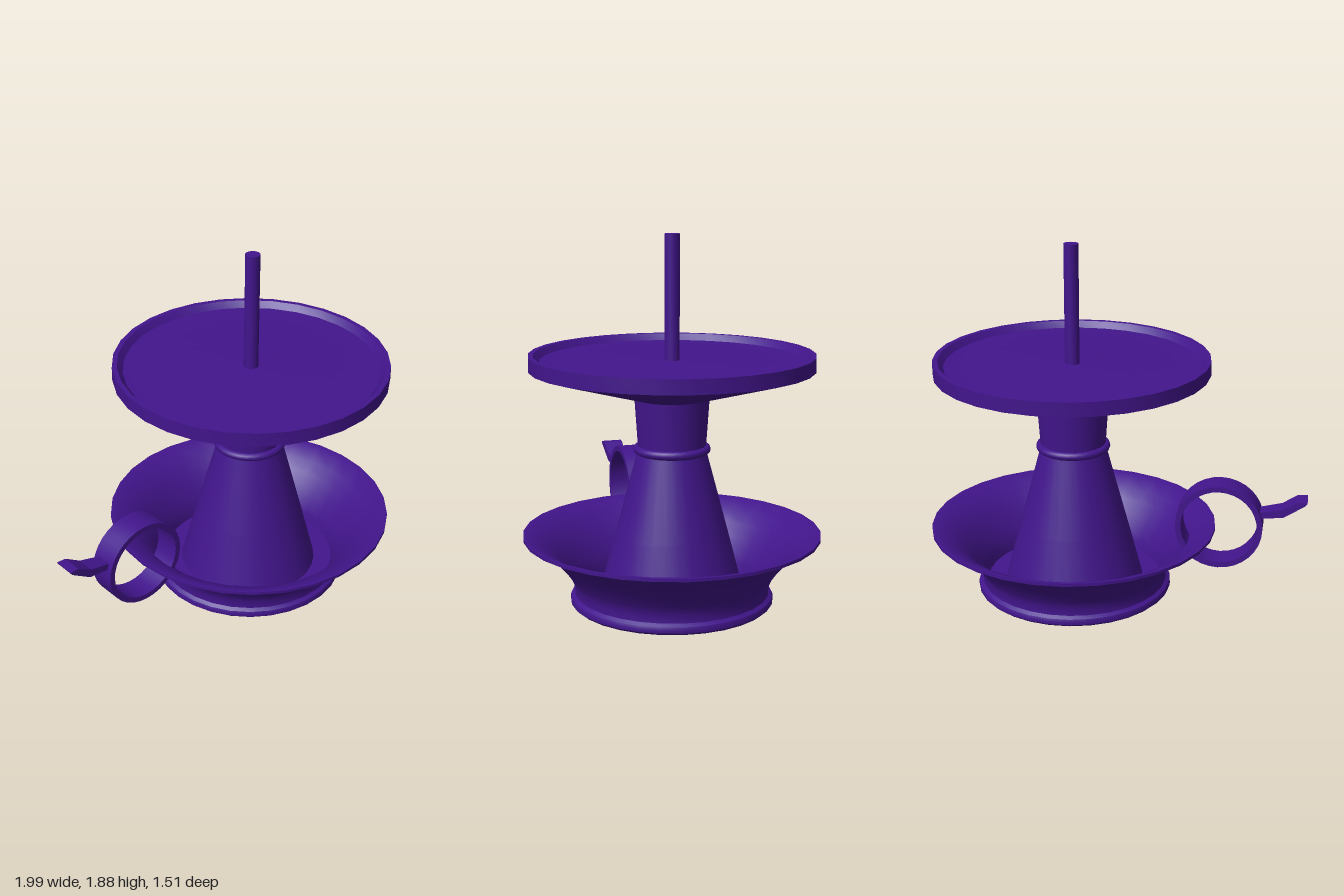
import * as THREE from 'three';
import { toCreasedNormals } from 'three/addons/utils/BufferGeometryUtils.js';

const AXIS = 0.237; // x of the turned parts' axis
const material = new THREE.MeshStandardMaterial({ color: 0x42158c });

function addMesh(parent, name, geometry, crease = 0.6) {
  const mesh = new THREE.Mesh(toCreasedNormals(geometry, crease), material);
  mesh.name = name;
  parent.add(mesh);
  return mesh;
}

// Turned part from [radius, height] pairs, outside first, going up
function turn(parent, name, points, segments = 30) {
  const profile = points.map(([r, y]) => new THREE.Vector2(r, y));
  return addMesh(parent, name, new THREE.LatheGeometry(profile, segments));
}

function extrude(shape, width, curveSegments = 12) {
  const geometry = new THREE.ExtrudeGeometry(shape, { depth: width, bevelEnabled: false, curveSegments });
  return geometry.translate(0, 0, -width / 2);
}

export function createModel() {
  const model = new THREE.Group();
  model.name = 'candlestick';

  const body = new THREE.Group();
  body.name = 'body';
  body.position.x = AXIS;
  model.add(body);

  // Hollow drip bowl with a rounded foot and flared rim
  turn(body, 'bowl', [
    [0, 0], [0.505, 0], [0.518, 0.012], [0.52, 0.027], [0.515, 0.042], [0.497, 0.055],
    [0.495, 0.095], [0.515, 0.14], [0.56, 0.205], [0.605, 0.258], [0.655, 0.3],
    [0.757, 0.352], [0.757, 0.368], [0.74, 0.368],
    [0.645, 0.317], [0.59, 0.27], [0.545, 0.215], [0.5, 0.15], [0.475, 0.095], [0.465, 0.05], [0, 0.05],
  ]);

  // Column: tapering stem, bead and neck
  turn(body, 'stem', [[0.37, 0.045], [0.285, 0.37], [0.173, 0.79], [0, 0.79]]);
  const bead = addMesh(body, 'bead', new THREE.TorusGeometry(0.173, 0.022, 10, 30).rotateX(Math.PI / 2), 1);
  bead.position.y = 0.8;
  turn(body, 'neck', [[0.17, 0.79], [0.189, 1.07]]);

  // Candle plate with a raised edge
  turn(body, 'plate', [
    [0, 1.06], [0.189, 1.06], [0.716, 1.21], [0.716, 1.283], [0.69, 1.283],
    [0.662, 1.25], [0.1, 1.245], [0.05, 1.25], [0, 1.255],
  ]);

  // Candle pin
  turn(body, 'pin', [[0.038, 1.24], [0.038, 1.875], [0, 1.875]], 16);

  // Handle, set slightly askew around the axis
  const handle = new THREE.Group();
  handle.name = 'handle';
  handle.position.x = AXIS;
  handle.rotation.y = 0.083;
  model.add(handle);

  const band = new THREE.Shape().absarc(0, 0, 0.229, 0, Math.PI * 2, false);
  band.holes.push(new THREE.Path().absarc(0, 0, 0.2, 0, Math.PI * 2, true));
  const ring = addMesh(handle, 'fingerRing', extrude(band, 0.142, 16));
  ring.position.set(-0.78, 0.408, 0);

  // Thumb rest, widening towards its tip
  const tab = new THREE.Shape([
    [-0.98, 0.458], [-0.98, 0.492], [-1.105, 0.52], [-1.185, 0.569], [-1.235, 0.569],
    [-1.225, 0.553], [-1.115, 0.478],
  ].map(([x, y]) => new THREE.Vector2(x, y)));
  const tabGeometry = extrude(tab, 1);
  const p = tabGeometry.attributes.position;
  for (let i = 0; i < p.count; i++) {
    const t = (-0.98 - p.getX(i)) / 0.255;
    p.setZ(i, p.getZ(i) * (0.08 + 0.035 * t));
  }
  addMesh(handle, 'thumbRest', tabGeometry, 0.3);

  return model;
}
